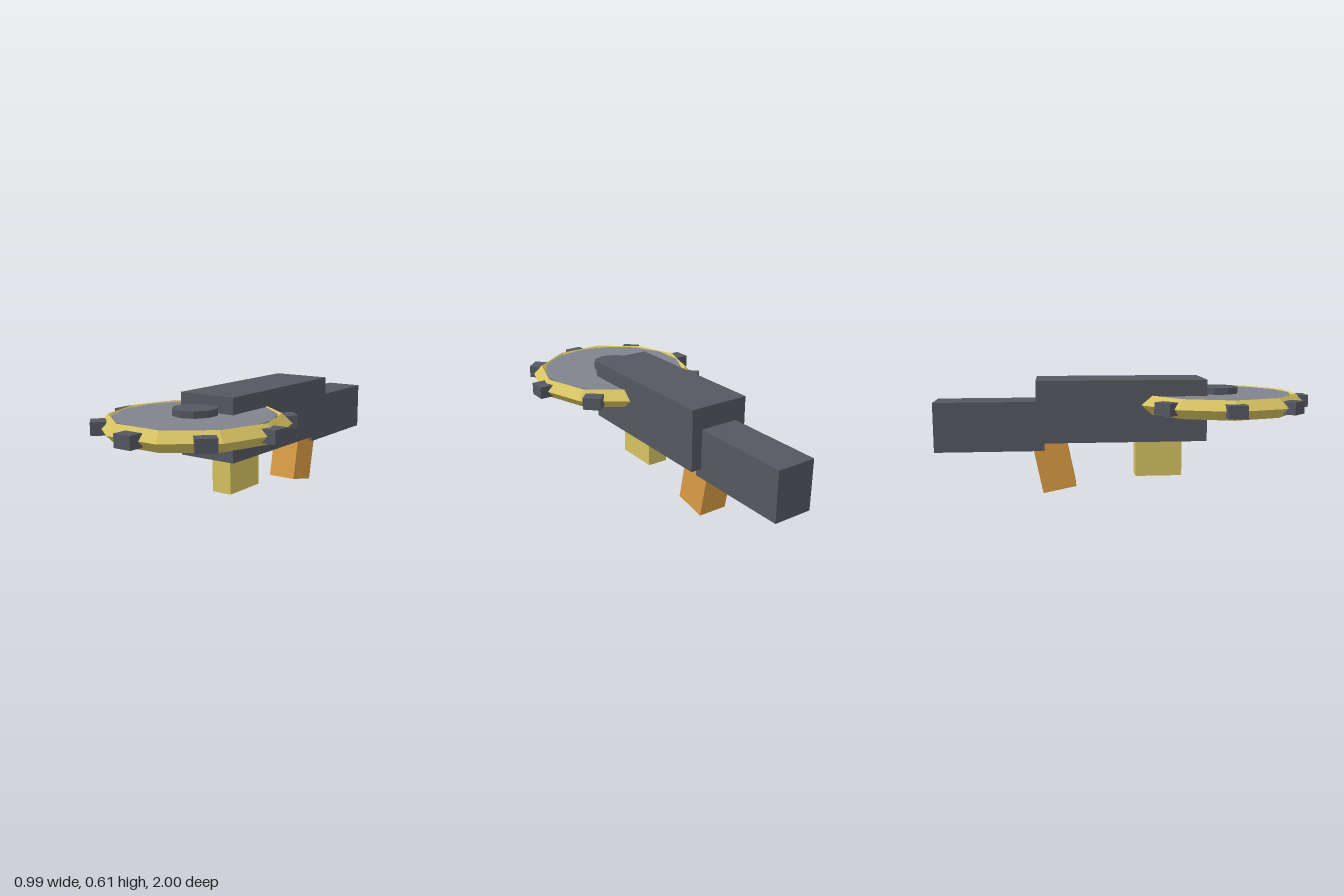
import * as THREE from 'three';

const mat = (name, color) => {
  const m = new THREE.MeshStandardMaterial({ color, flatShading: true });
  m.name = name;
  return m;
};

export function createModel() {
  const model = new THREE.Group();
  model.name = 'sawTool';
  const darkMetal = mat('darkMetal', 0x555861);
  const bladeGrey = mat('bladeGrey', 0x80838c);
  const yellow = mat('yellow', 0xd6c262);
  const orange = mat('orange', 0xda9c44);

  const add = (parent, name, geometry, material, x, y, z) => {
    const mesh = new THREE.Mesh(geometry, material);
    mesh.name = name;
    mesh.position.set(x, y, z);
    parent.add(mesh);
    return mesh;
  };
  const box = (w, h, d) => new THREE.BoxGeometry(w, h, d);

  // Main housing with the rear stock
  add(model, 'body', box(0.324, 0.323, 0.89), darkMetal, 0, 0.4485, -0.025);
  add(model, 'stock', box(0.208, 0.26, 0.57), darkMetal, 0, 0.367, -0.715);

  // Slanted rear grip and front magazine
  const grip = add(model, 'grip', box(0.162, 0.32, 0.179), orange, 0, 0.179, -0.384);
  grip.rotation.x = -0.2;
  add(model, 'magazine', box(0.114, 0.26, 0.25), yellow, 0, 0.213, 0.18);

  // Horizontal saw blade: disc, hub and faceted rim
  const blade = new THREE.Group();
  blade.name = 'blade';
  blade.position.set(0, 0.48, 0.505);
  model.add(blade);
  add(blade, 'disc', new THREE.CylinderGeometry(0.397, 0.397, 0.09, 14), bladeGrey, 0, 0, 0);
  add(blade, 'hub', new THREE.CylinderGeometry(0.114, 0.114, 0.16, 10), darkMetal, 0, 0, 0);
  const rim = new THREE.TorusGeometry(0.418, 0.05, 4, 10).rotateX(Math.PI / 2);
  add(blade, 'rim', rim, yellow, 0, 0, 0);

  // Eight teeth around the rim
  const toothGeometry = box(0.098, 0.065, 0.075);
  for (let i = 0; i < 8; i++) {
    const a = (i * Math.PI) / 4;
    const tooth = add(blade, 'tooth', toothGeometry, darkMetal, Math.sin(a) * 0.4575, 0, Math.cos(a) * 0.4575);
    tooth.rotation.y = a;
  }
  return model;
}
